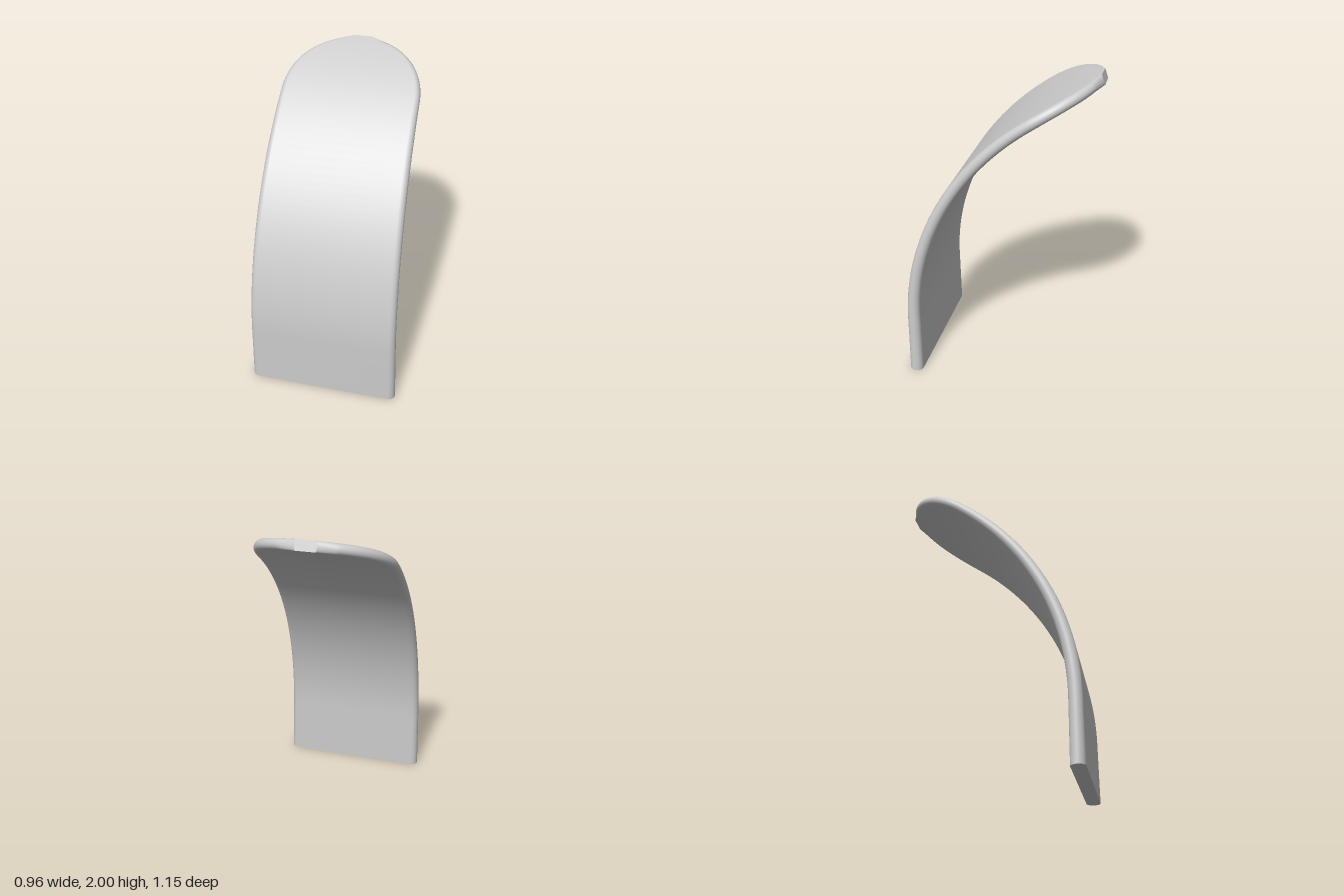
import * as THREE from 'three';

const R = 1.71, FRONT = 0.576, RISE = 0.39;       // arc radius, front face z, straight rise
const END = RISE + R * THREE.MathUtils.degToRad(70);   // length up to the tip
const BEND = RISE + R * THREE.MathUtils.degToRad(54.8); // where the rounded end starts
const TIP = 0.064;                                // half width of the flat tip
const EDGE = 10;                                  // segments round each edge

// Point at x, at length s along the front face, at depth d behind it
function place(x, s, d) {
  if (s < RISE) return [x, s, FRONT - d];
  const a = (s - RISE) / R;
  return [x, RISE + (R - d) * Math.sin(a), FRONT - R + (R - d) * Math.cos(a)];
}

// Outline stations [length, half width]: tapering sides, then an elliptical end
function outline() {
  const list = [];
  const taper = s => 0.48 - 0.05 * s / BEND;
  for (let i = 0; i < 4; i++) list.push([RISE * i / 4, taper(RISE * i / 4)]);
  for (let i = 0; i < 32; i++) {
    const s = RISE + (BEND - RISE) * i / 32;
    list.push([s, taper(s)]);
  }
  const full = (END - BEND) / 0.989;
  for (let i = 0; i <= 20; i++) {
    const a = THREE.MathUtils.degToRad(68) * i / 20;
    list.push([BEND + full * Math.sin(a), 0.43 * Math.cos(a)]);
  }
  list.push([END, TIP]);
  return list;
}

// Section loops: a rounded edge on the left side, mirrored to the right
function sections() {
  const line = outline(), last = line.length - 1;
  return line.map(([s, w], i) => {
    const r = (0.088 - 0.025 * s / END) / 2;
    let nx = 1, ns = 0, inset = r;
    if (i === last) inset = r * 0.15;             // the tip is nearly square
    else if (i > 0) {
      const ds = line[i + 1][0] - line[i - 1][0], dw = line[i + 1][1] - line[i - 1][1];
      const len = Math.hypot(ds, dw);
      nx = ds / len;
      ns = -dw / len;
    }
    const left = [], right = [];
    for (let k = 0; k <= EDGE; k++) {
      const a = Math.PI * (0.5 - k / EDGE);
      const q = inset * (1 - Math.cos(a)), d = r * (1 - Math.sin(a));
      left.push(place(w - q * nx, s - q * ns, d));
      right.unshift(place(-(w - q * nx), s - q * ns, d));
    }
    return [...left, ...right];
  });
}

function geometryFrom(points, index) {
  const g = new THREE.BufferGeometry();
  g.setAttribute('position', new THREE.Float32BufferAttribute(points.flat(), 3));
  g.setIndex(index);
  g.computeVertexNormals();
  return g;
}

// Skin running through all the sections
function skin(loops) {
  const n = loops[0].length, index = [];
  for (let i = 0; i < loops.length - 1; i++) {
    for (let j = 0; j < n; j++) {
      const a = i * n + j, b = i * n + (j + 1) % n;
      index.push(a, b, b + n, a, b + n, a + n);
    }
  }
  return geometryFrom(loops.flat(), index);
}

// Flat end closing one section
function cap(loop, flip) {
  const index = [];
  for (let j = 1; j < loop.length - 1; j++) index.push(0, flip ? j + 1 : j, flip ? j : j + 1);
  return geometryFrom(loop, index);
}

export function createModel() {
  const group = new THREE.Group();
  group.name = 'curvedPanel';
  const material = new THREE.MeshStandardMaterial({ color: 0xcccccc });
  const add = (name, geometry) => {
    const mesh = new THREE.Mesh(geometry, material);
    mesh.name = name;
    group.add(mesh);
  };
  const loops = sections();
  add('panel', skin(loops));
  add('baseEnd', cap(loops[0], true));
  add('tipEnd', cap(loops[loops.length - 1], false));
  return group;
}
